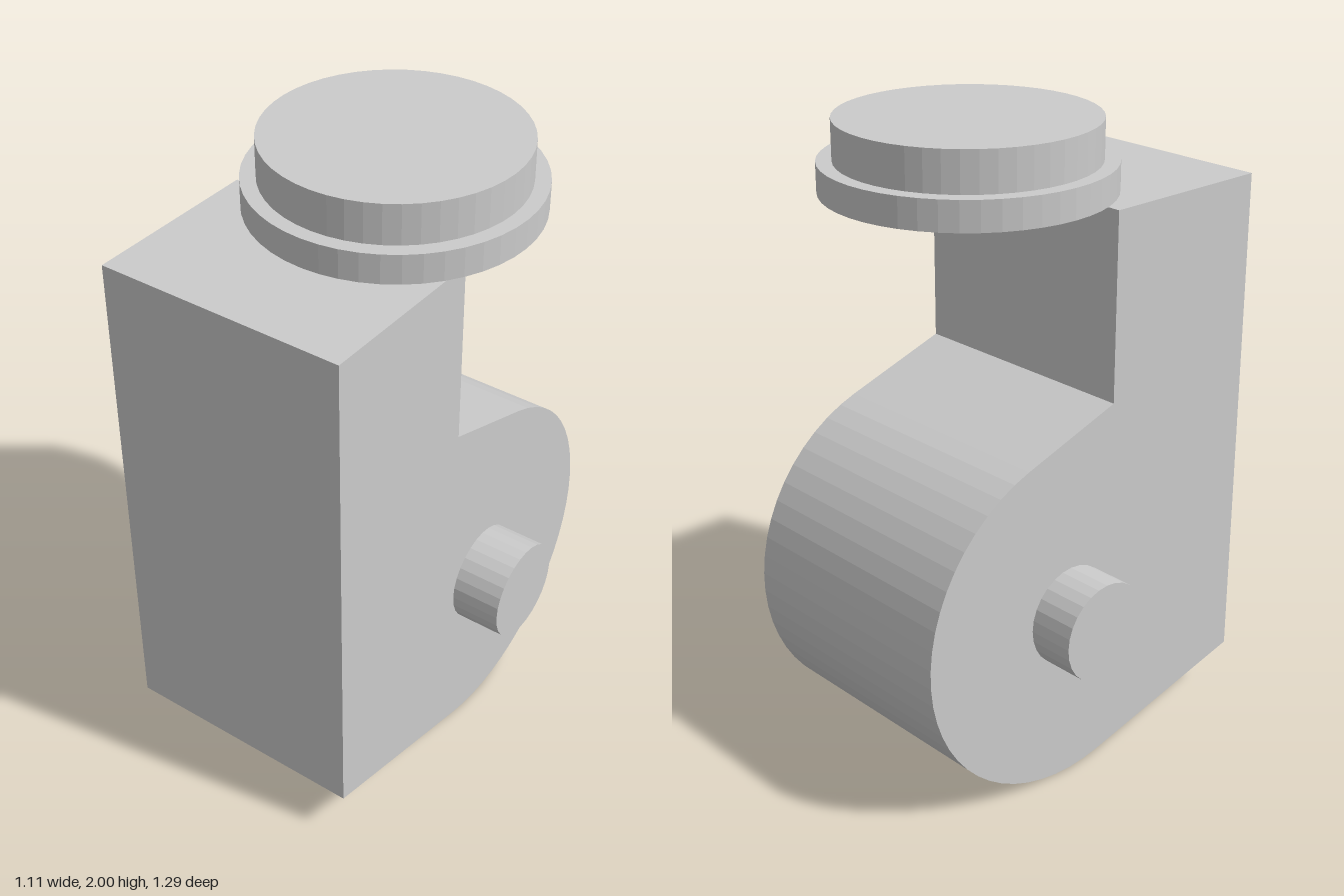
import * as THREE from 'three';

const material = new THREE.MeshStandardMaterial({ color: 0xcccccc, flatShading: true });

// Shared axis of the rounded hub and the pivot pins (z, y)
const AXIS = { z: -0.095, y: 0.555 };
const HUB_RADIUS = 0.555;

// Angle at which a line from (z, y) touches the hub; side picks which tangent
function tangentAngle(z, y, side) {
  const dz = z - AXIS.z, dy = y - AXIS.y;
  return Math.atan2(dy, dz) + side * Math.acos(HUB_RADIUS / Math.hypot(dz, dy));
}

function addMesh(group, name, geometry) {
  const mesh = new THREE.Mesh(geometry, material);
  mesh.name = name;
  group.add(mesh);
  return mesh;
}

export function createModel() {
  const group = new THREE.Group();
  group.name = 'leverBlock';

  // Body: upright block flowing tangentially into a round hub, drawn in (z, y)
  const start = tangentAngle(0.07, 1.195, 1);
  const end = tangentAngle(0.645, 0.16, -1) + Math.PI * 2;
  const profile = new THREE.Shape();
  profile.moveTo(0.645, 0.16);
  profile.lineTo(0.645, 1.78);
  profile.lineTo(0.07, 1.78);
  profile.lineTo(0.07, 1.195);
  const steps = 28;
  for (let i = 0; i <= steps; i++) {
    const a = start + (end - start) * i / steps;
    profile.lineTo(AXIS.z + HUB_RADIUS * Math.cos(a), AXIS.y + HUB_RADIUS * Math.sin(a));
  }
  profile.closePath();
  const body = new THREE.ExtrudeGeometry(profile, { depth: 0.795, bevelEnabled: false });
  body.rotateY(-Math.PI / 2);
  body.translate(0.39, 0, 0);
  addMesh(group, 'body', body);

  // Pivot pins, each sunk slightly into the body
  const pins = [['leftPin', 0.37, 0.55], ['rightPin', -0.555, -0.385]];
  for (const [name, x0, x1] of pins) {
    const pin = new THREE.CylinderGeometry(0.157, 0.157, x1 - x0, 28);
    pin.rotateZ(Math.PI / 2);
    addMesh(group, name, pin).position.set((x0 + x1) / 2, AXIS.y, AXIS.z);
  }

  // Round cap: wide flange with a narrower button on top
  const discs = [['capFlange', 0.44, 1.783, 1.875], ['capButton', 0.393, 1.875, 2]];
  for (const [name, r, y0, y1] of discs) {
    const disc = new THREE.CylinderGeometry(r, r, y1 - y0, 48);
    addMesh(group, name, disc).position.set(0.04, (y0 + y1) / 2, AXIS.z);
  }

  return group;
}
